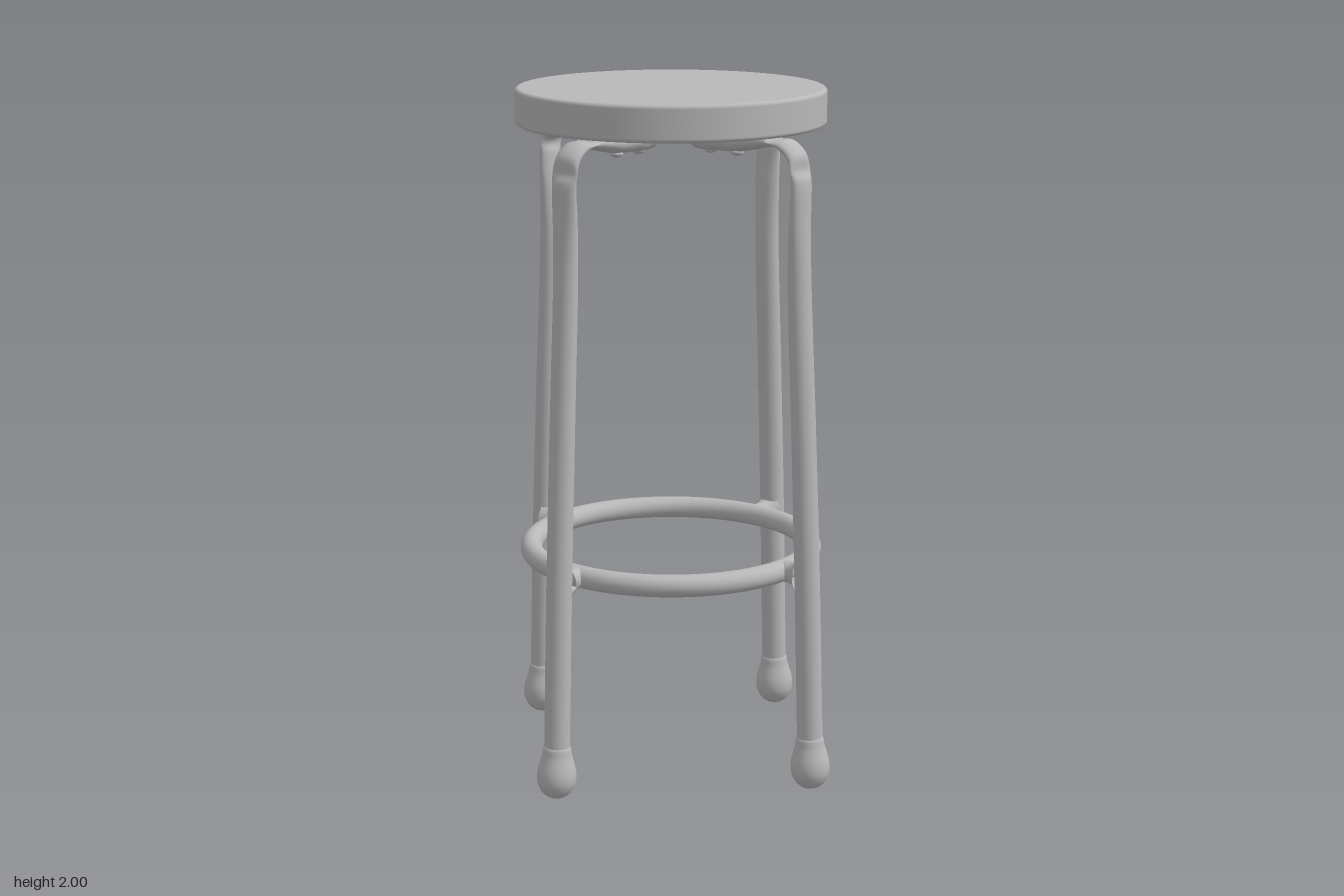
import * as THREE from 'three';

const grey = new THREE.MeshStandardMaterial({ color: 0xb8b8b8, side: THREE.DoubleSide });
grey.name = 'grey';

const V = (x, y, z = 0) => new THREE.Vector3(x, y, z);

function part(name, geometry, parent) {
  const mesh = new THREE.Mesh(geometry, grey);
  mesh.name = name;
  parent.add(mesh);
  return mesh;
}

// Bent tube in the xy plane; stations are [x, y, half thickness, half width]
function legGeometry(stations, steps = 90, sides = 28) {
  const path = new THREE.CatmullRomCurve3(stations.map(s => V(s[0], s[1])));
  const size = new THREE.CatmullRomCurve3(stations.map(s => V(s[2], s[3])));
  const pos = [], index = [];
  for (let i = 0; i <= steps; i++) {
    const t = i / steps;
    const c = path.getPoint(t), d = path.getTangent(t), r = size.getPoint(t);
    for (let j = 0; j < sides; j++) {
      const a = (j / sides) * Math.PI * 2;
      const u = Math.cos(a) * r.x;
      pos.push(c.x + d.y * u, c.y - d.x * u, Math.sin(a) * r.y);
      if (i < steps) {
        const p = i * sides + j, q = i * sides + (j + 1) % sides;
        index.push(p, p + sides, q, q, p + sides, q + sides);
      }
    }
  }
  // Wind faces outward
  for (let k = 0; k < index.length; k += 3) {
    [index[k + 1], index[k + 2]] = [index[k + 2], index[k + 1]];
  }
  const g = new THREE.BufferGeometry();
  g.setAttribute('position', new THREE.Float32BufferAttribute(pos, 3));
  g.setIndex(index);
  g.computeVertexNormals();
  return g;
}

function seatGeometry() {
  const R = 0.445, r = 0.012, bottom = 1.895, top = 2;
  const pts = [new THREE.Vector2(0, bottom), new THREE.Vector2(R - r - 0.002, bottom)];
  for (const [y, start] of [[bottom + r, -Math.PI / 2], [top - r, 0]]) {
    for (let i = 0; i <= 5; i++) {
      const a = start + (i / 5) * Math.PI / 2;
      pts.push(new THREE.Vector2(R - r + Math.cos(a) * r, y + Math.sin(a) * r));
    }
  }
  pts.push(new THREE.Vector2(R - r - 0.002, top), new THREE.Vector2(0, top));
  return new THREE.LatheGeometry(pts, 96);
}

// Rubber tip: ball tapering up into a sleeve
function footGeometry() {
  const profile = [[0, 0], [0.022, 0.004], [0.042, 0.019], [0.054, 0.042], [0.057, 0.064],
    [0.055, 0.085], [0.049, 0.108], [0.043, 0.13], [0.04, 0.15], [0.036, 0.156]];
  const curve = new THREE.SplineCurve(profile.map(p => new THREE.Vector2(...p)));
  const pts = curve.getPoints(32);
  pts[0].x = 0;
  return new THREE.LatheGeometry(pts.map(p => new THREE.Vector2(Math.max(p.x, 0), Math.max(p.y, 0))), 32);
}

export function createModel() {
  const model = new THREE.Group();
  model.name = 'stool';

  part('seat', seatGeometry(), model);

  // Foot ring
  const ring = part('footRing', new THREE.TorusGeometry(0.413, 0.032, 20, 96), model);
  ring.rotation.x = Math.PI / 2;
  ring.position.y = 0.642;

  // Straight shank, flattened through the bend, then round again under the seat
  const leg = legGeometry([
    [0.52, 0.08, 0.037, 0.037], [0.5, 0.65, 0.036, 0.037], [0.48, 1.1, 0.034, 0.037],
    [0.461, 1.5, 0.031, 0.037], [0.46, 1.66, 0.025, 0.04], [0.462, 1.78, 0.018, 0.042],
    [0.447, 1.837, 0.018, 0.042], [0.412, 1.866, 0.018, 0.042], [0.36, 1.874, 0.018, 0.042],
    [0.3, 1.869, 0.024, 0.04], [0.24, 1.864, 0.03, 0.037], [0.17, 1.864, 0.031, 0.037],
    [0.1, 1.864, 0.031, 0.037],
  ]);
  const foot = footGeometry();
  const weld = new THREE.LatheGeometry(
    [[0.031, 0], [0.032, 0.03], [0.035, 0.045], [0.043, 0.058], [0.05, 0.068]]
      .map(p => new THREE.Vector2(...p)), 24);
  const rivet = new THREE.SphereGeometry(0.019, 20, 12);

  for (let i = 0; i < 4; i++) {
    const side = new THREE.Group();
    side.name = ['leftLeg', 'backLeg', 'rightLeg', 'frontLeg'][i];
    side.rotation.y = i * Math.PI / 2;
    model.add(side);

    part('legTube', leg, side);

    const tip = part('footTip', foot, side);
    tip.position.set(0.522, 0.004, 0);
    tip.rotation.z = 0.03;

    // Flared weld joining ring to leg
    const joint = part('ringWeld', weld, side);
    joint.position.set(0.415, 0.642, 0);
    joint.rotation.z = -Math.PI / 2;

    // Rivets holding the leg to the seat
    for (const x of [0.145, 0.24]) {
      const head = part('rivet', rivet, side);
      head.position.set(x, 1.833, 0);
      head.scale.y = 0.55;
    }
  }
  return model;
}
